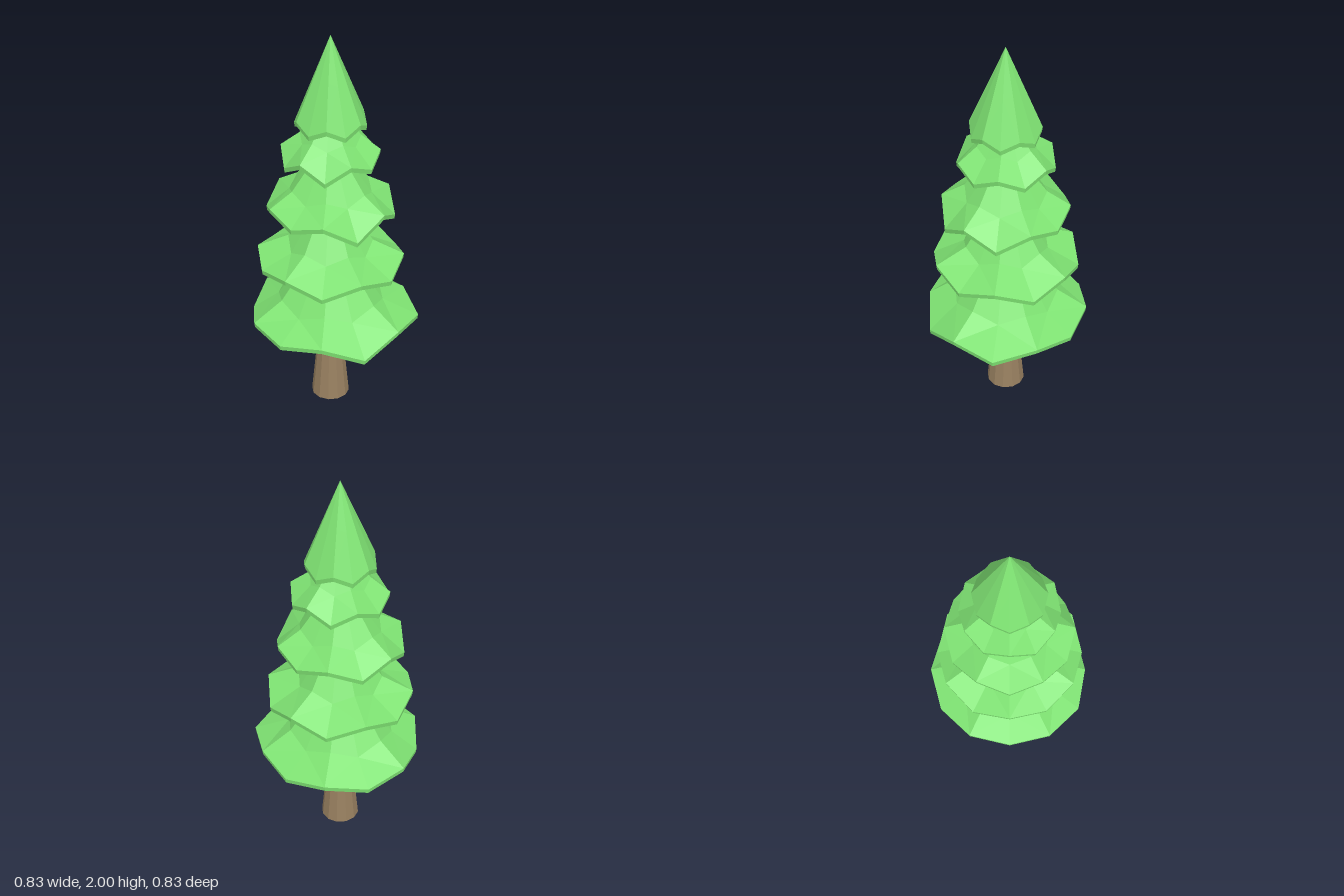
import * as THREE from 'three';

const SIDES = 12;
const green = new THREE.MeshStandardMaterial({ color: 0x7ee272, flatShading: true });
const brown = new THREE.MeshStandardMaterial({ color: 0x988060, flatShading: true });

// Tiers from bottom to top. The rim zigzags: 'low' holds the six drooping
// corners, starting at angle 'phase' * 30 degrees (x axis = 0, front = 90).
// 'drop' lowers the bend above them; 'wobble' shifts single corners in or out.
const TIERS = [
  { apex: 0.99, mid: [0.265, 0.635], drop: 0.04, r: 0.415, high: 0.54, phase: 1,
    low: [0.465, 0.52, 0.495, 0.51, 0.51, 0.51], wobble: { 2: -0.018, 5: -0.018, 11: 0.033 } },
  { apex: 1.25, mid: [0.21, 0.94], drop: 0.04, r: 0.365, high: 0.87, phase: 0,
    low: [0.82, 0.81, 0.84, 0.82, 0.81, 0.81] },
  { apex: 1.50, mid: [0.2, 1.24], drop: 0.035, r: 0.315, high: 1.17, phase: 1,
    low: [1.08, 1.13, 1.10, 1.11, 1.13, 1.09] },
  { apex: 1.69, mid: [0.145, 1.51], drop: 0.03, r: 0.238, high: 1.44, phase: 0,
    low: [1.39, 1.365, 1.375, 1.39, 1.38, 1.39] },
  { apex: 2.00, mid: [0.086, 1.80], drop: 0.02, r: 0.172, high: 1.60, phase: 1,
    low: [1.56, 1.56, 1.56, 1.56, 1.56, 1.56] },
];

// A drooping tier: bent outer skin, thin upright rim and shallow hollow underside
function tierGeometry({ apex, mid, drop, r, high, phase, low, wobble = {} }) {
  const positions = [];
  const index = [];
  const rings = 5;
  for (let i = 0; i < rings; i++) {
    for (let k = 0; k < SIDES; k++) {
      const isLow = k % 2 === phase;
      const rimY = isLow ? low[(k - phase) / 2] : high;
      const rimR = r + (wobble[k] ?? 0);
      const [radius, y] = [
        [0, apex],
        [mid[0], mid[1] - (isLow ? drop : 0)],
        [rimR, rimY],
        [rimR - 0.003, rimY - 0.024],
        [0, high + 0.3 * r],
      ][i];
      const a = (k / SIDES) * Math.PI * 2;
      positions.push(radius * Math.cos(a), y, radius * Math.sin(a));
    }
  }
  for (let i = 0; i < rings - 1; i++) {
    for (let k = 0; k < SIDES; k++) {
      const a = i * SIDES + k;
      const b = i * SIDES + ((k + 1) % SIDES);
      const c = a + SIDES;
      const d = b + SIDES;
      if (i === 0) index.push(a, d, c);
      else if (i === rings - 2) index.push(a, b, c);
      // fold each panel along the diagonal that starts at its drooping corner
      else if (k % 2 === phase) index.push(a, b, d, a, d, c);
      else index.push(a, b, c, b, d, c);
    }
  }
  const geometry = new THREE.BufferGeometry();
  geometry.setAttribute('position', new THREE.Float32BufferAttribute(positions, 3));
  geometry.setIndex(index);
  const flat = geometry.toNonIndexed();
  flat.computeVertexNormals();
  return flat;
}

export function createModel() {
  const tree = new THREE.Group();
  tree.name = 'pineTree';

  // Trunk, flared at the foot and running up into the top tier
  const profile = [[0, 0], [0.098, 0], [0.073, 0.26], [0.067, 0.5], [0.06, 1.1], [0.054, 1.64], [0, 1.64]];
  const trunk = new THREE.Mesh(
    new THREE.LatheGeometry(profile.map(([x, y]) => new THREE.Vector2(x, y)), SIDES),
    brown
  );
  trunk.name = 'trunk';
  tree.add(trunk);

  // Foliage tiers
  TIERS.forEach((tier, i) => {
    const mesh = new THREE.Mesh(tierGeometry(tier), green);
    mesh.name = `foliageTier${i + 1}`;
    tree.add(mesh);
  });

  return tree;
}
